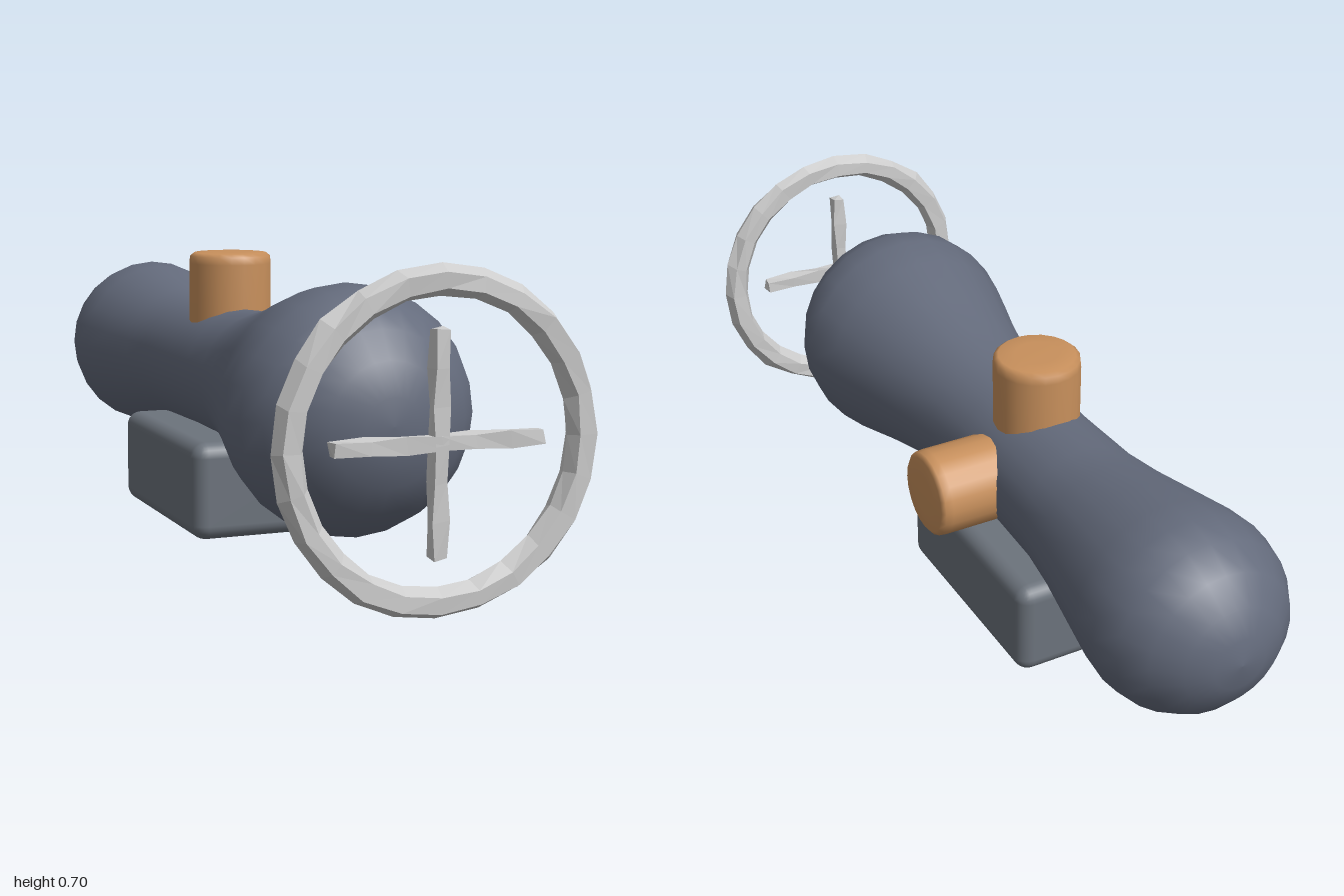
import * as THREE from 'three';
import { RoundedBoxGeometry } from 'three/addons/geometries/RoundedBoxGeometry.js';

const AXIS_Y = 0.365; // height of the tube's axis
const TURRET_Z = -0.16;

const mat = (color, flatShading = false) => new THREE.MeshStandardMaterial({ color, flatShading });

function add(group, name, geometry, material, x, y, z) {
  const mesh = new THREE.Mesh(geometry, material);
  mesh.name = name;
  mesh.position.set(x, y, z);
  group.add(mesh);
  return mesh;
}

// Turned shape around y from [radius, height] pairs, bottom to top
const turned = (points, sides) =>
  new THREE.LatheGeometry(points.map(([r, h]) => new THREE.Vector2(r, h)), sides);

// Small repeatable wobble for the hand-cut look of the metal reticle
function roughen(geometry, amount) {
  const p = geometry.attributes.position;
  const v = new THREE.Vector3();
  const wave = (a, b, c) => Math.sin(a * 91 + b * 57 + c * 133);
  for (let i = 0; i < p.count; i++) {
    v.fromBufferAttribute(p, i);
    p.setXYZ(i,
      v.x + amount * wave(v.x, v.y, v.z),
      v.y + amount * wave(v.y, v.z, v.x),
      v.z + amount * 0.6 * wave(v.z, v.x, v.y));
  }
  geometry.computeVertexNormals();
  return geometry;
}

export function createModel() {
  const model = new THREE.Group();
  model.name = 'scope';
  const tubeMat = mat(0x646b7c);
  const mountMat = mat(0x6c737c);
  const turretMat = mat(0xc8905c);
  const metalMat = mat(0xcccccc, true);

  // Tube: large front bulb, slim waist, smaller rear bulb
  const tube = turned([
    [0, -0.997], [0.06, -0.99], [0.115, -0.965], [0.17, -0.92], [0.207, -0.86],
    [0.222, -0.79], [0.215, -0.71], [0.195, -0.6], [0.173, -0.48], [0.16, -0.38],
    [0.155, -0.2], [0.156, -0.05], [0.161, 0.07], [0.187, 0.2], [0.216, 0.32],
    [0.25, 0.44], [0.268, 0.53], [0.262, 0.6], [0.236, 0.66], [0.19, 0.715],
    [0.13, 0.755], [0.06, 0.776], [0, 0.778],
  ], 24);
  add(model, 'tube', tube, tubeMat, 0, AXIS_Y, 0).rotation.x = Math.PI / 2;

  // Mounting block below the waist
  add(model, 'mount', new RoundedBoxGeometry(0.38, 0.23, 0.56, 3, 0.035), mountMat, 0, 0.115, -0.16);

  // Adjustment turrets, one on top and one on the left side
  const turret = turned([
    [0, 0.09], [0.092, 0.09], [0.099, 0.1], [0.1, 0.12], [0.1, 0.262],
    [0.098, 0.28], [0.088, 0.288], [0.05, 0.29], [0, 0.29],
  ], 20);
  add(model, 'topTurret', turret, turretMat, 0, AXIS_Y, TURRET_Z);
  add(model, 'sideTurret', turret, turretMat, 0, AXIS_Y, TURRET_Z)
    .rotation.z = -Math.PI / 2;

  // Reticle floating ahead of the tube: faceted ring and cross
  const reticle = new THREE.Group();
  reticle.name = 'reticle';
  reticle.position.set(0, AXIS_Y, 0.967);
  model.add(reticle);
  add(reticle, 'ring', roughen(new THREE.TorusGeometry(0.309, 0.032, 6, 24), 0.003), metalMat, 0, 0, 0);
  const bar = roughen(new THREE.BoxGeometry(0.03, 0.44, 0.03, 1, 6, 1), 0.003);
  add(reticle, 'verticalBar', bar, metalMat, 0, -0.003, 0);
  add(reticle, 'horizontalBar', bar, metalMat, 0, 0, 0).rotation.z = Math.PI / 2;

  return model;
}
